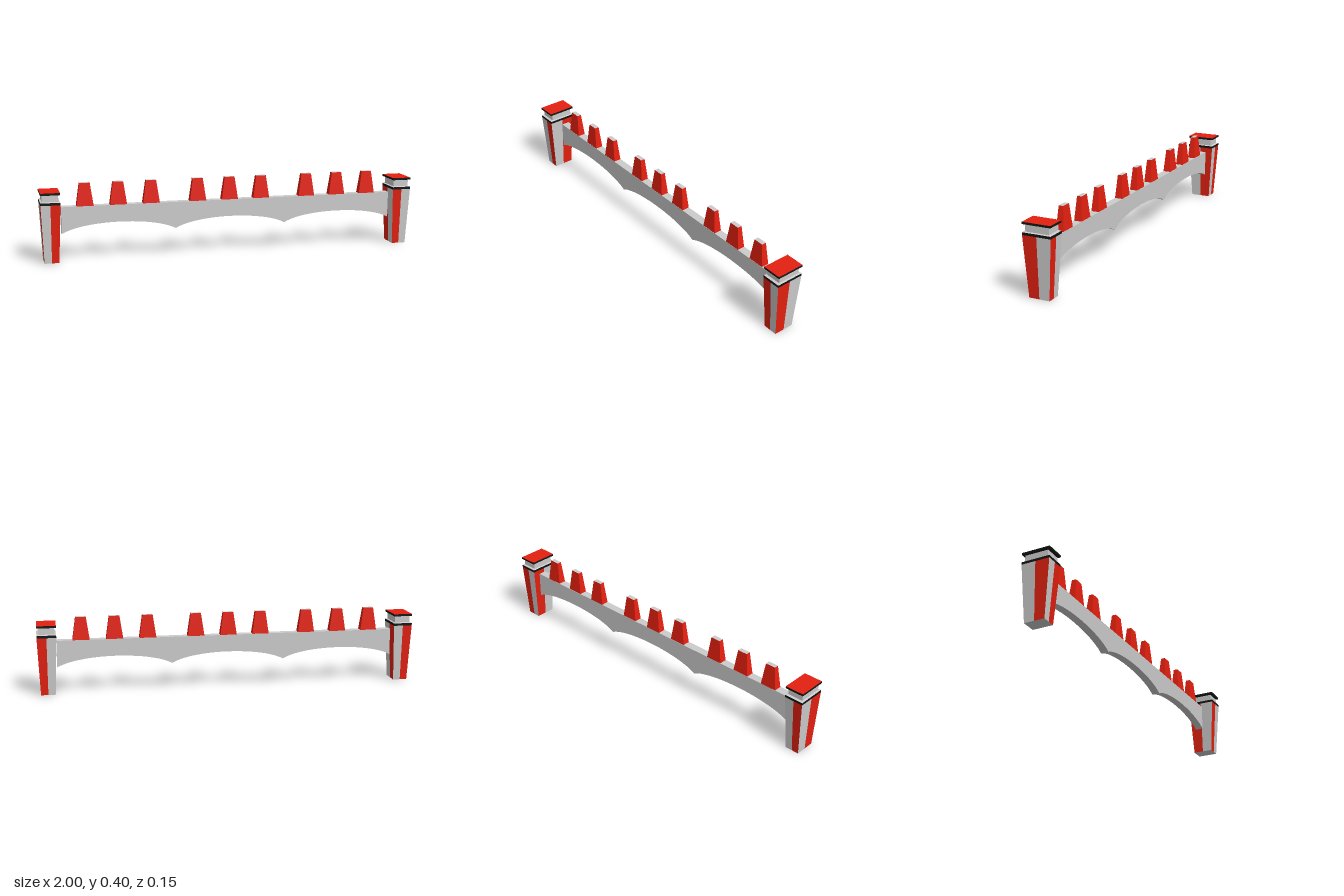
import * as THREE from 'three';

const grey = new THREE.MeshStandardMaterial({ color: 0xcccccc });
const red = new THREE.MeshStandardMaterial({ color: 0xe42010 });
const black = new THREE.MeshStandardMaterial({ color: 0x101412 });

// Box standing on y = 0 whose top and bottom sections differ: [width, depth]
function taperedBox([bw, bd], [tw, td], h, segments = 1) {
  const geo = new THREE.BoxGeometry(1, h, 1, segments, 1, segments);
  geo.translate(0, h / 2, 0);
  const p = geo.attributes.position;
  for (let i = 0; i < p.count; i++) {
    const top = p.getY(i) > h / 2;
    p.setX(i, p.getX(i) * (top ? tw : bw));
    p.setZ(i, p.getZ(i) * (top ? td : bd));
  }
  geo.computeVertexNormals();
  return geo;
}

function add(parent, name, geo, material, x, y, z) {
  const mesh = new THREE.Mesh(geo, material);
  mesh.name = name;
  mesh.position.set(x, y, z);
  parent.add(mesh);
}

// Tapered pillar with half-and-half painted sides and a two-slab capital
function makePillar(side) {
  const pillar = new THREE.Group();
  pillar.name = side > 0 ? 'leftPillar' : 'rightPillar';
  pillar.position.x = side * 0.95;

  // Each side face has two columns; the colours alternate around the shaft
  const shaft = taperedBox([0.075, 0.108], [0.1, 0.15], 0.304, 2);
  shaft.clearGroups();
  const first = side > 0 ? 0 : 1;
  for (const start of [0, 12, 72, 84]) {
    shaft.addGroup(start, 6, first);
    shaft.addGroup(start + 6, 6, 1 - first);
  }
  shaft.addGroup(24, 48, 1);
  add(pillar, 'shaft', shaft, [red, grey], 0, 0, 0);

  const wide = [0.1, 0.15], narrow = [0.083, 0.124];
  add(pillar, 'lowerSlab', taperedBox(wide, wide, 0.013), black, 0, 0.304, 0);
  add(pillar, 'lowerBevel', taperedBox(wide, narrow, 0.003), grey, 0, 0.317, 0);
  add(pillar, 'neck', taperedBox(narrow, narrow, 0.033), grey, 0, 0.32, 0);
  add(pillar, 'upperBevel', taperedBox(narrow, wide, 0.003), black, 0, 0.353, 0);
  add(pillar, 'capSlab', taperedBox(wide, wide, 0.011),
    [black, black, red, black, black, black], 0, 0.356, 0);
  return pillar;
}

// Straight-topped beam with three shallow arches underneath
function makeBeam() {
  const ends = [-0.892, -0.295, 0.302, 0.9];
  const shape = new THREE.Shape();
  shape.moveTo(ends[0], 0.14);
  for (let i = 0; i < 3; i++) {
    const a = ends[i], b = ends[i + 1];
    shape.bezierCurveTo(a + 0.12, 0.207, b - 0.12, 0.207, b, 0.14);
  }
  shape.lineTo(ends[3], 0.28);
  shape.lineTo(ends[0], 0.28);
  shape.closePath();
  return new THREE.ExtrudeGeometry(shape, { depth: 0.043, bevelEnabled: false, curveSegments: 20 });
}

export function createModel() {
  const model = new THREE.Group();
  model.name = 'archedWall';

  for (const side of [-1, 1]) model.add(makePillar(side));
  add(model, 'archedBeam', makeBeam(), grey, 0, 0, -0.036);

  // Three groups of three merlons with plain tops
  const merlons = new THREE.Group();
  merlons.name = 'merlons';
  const merlon = taperedBox([0.088, 0.041], [0.054, 0.024], 0.12);
  for (const centre of [-0.595, 0, 0.6]) {
    for (const k of [-1, 0, 1]) {
      add(merlons, 'merlon', merlon, [red, red, grey, red, red, red], centre + k * 0.173, 0.28, -0.0145);
    }
  }
  model.add(merlons);
  return model;
}
